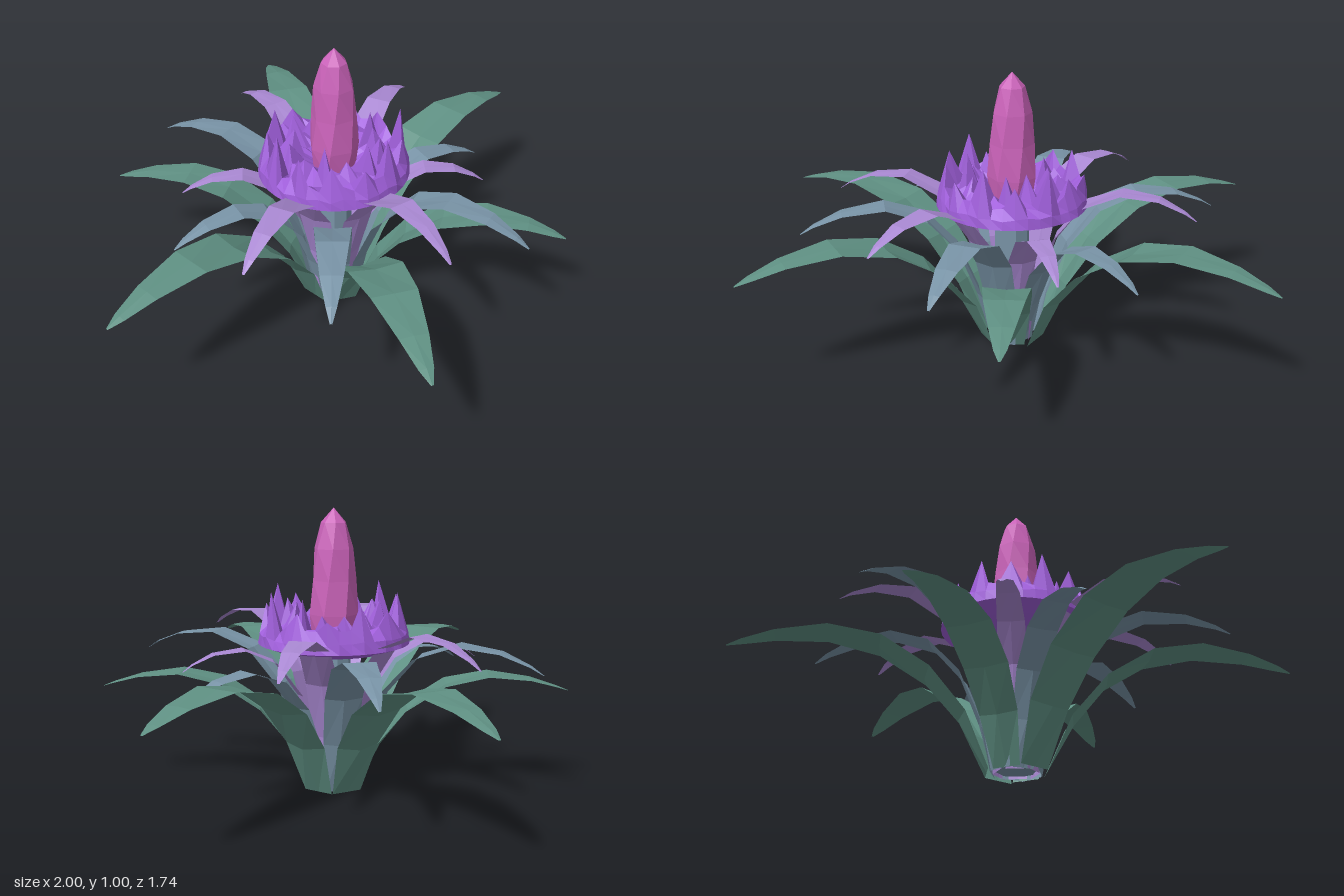
import * as THREE from 'three';

const mat = (name, color) => {
  const m = new THREE.MeshStandardMaterial({ color, side: THREE.DoubleSide });
  m.name = name;
  return m;
};

// Faceted surface through a grid of rows, each row a list of [x, y, z]
function gridSurface(rows, closed = false) {
  const n = rows[0].length, pos = rows.flat(2), index = [];
  for (let i = 0; i < rows.length - 1; i++) {
    for (let j = 0; j < (closed ? n : n - 1); j++) {
      const k = (j + 1) % n;
      const a = i * n + j, b = i * n + k, c = (i + 1) * n + j, d = (i + 1) * n + k;
      index.push(a, b, c, b, d, c);
    }
  }
  const g = new THREE.BufferGeometry();
  g.setAttribute('position', new THREE.Float32BufferAttribute(pos, 3));
  g.setIndex(index);
  const flat = g.toNonIndexed();
  flat.computeVertexNormals();
  return flat;
}

// Arching leaf along +x; path points are [radius, height, half width]
function leafGeometry(path) {
  const last = path.length - 1;
  const rows = path.map(([r, y, w], i) => {
    const p = path[Math.max(i - 1, 0)], q = path[Math.min(i + 1, last)];
    const len = Math.hypot(q[0] - p[0], q[1] - p[1]);
    const nx = -(q[1] - p[1]) / len, ny = (q[0] - p[0]) / len;
    // cupped at the base, softly ridged toward the tip
    const lift = i === 0 ? 0 : w * (0.35 - 0.6 * i / last);
    const edge = s => [r + nx * lift, y + ny * lift, s * w];
    return [edge(-1), [r, y, 0], edge(1)];
  });
  return gridSurface(rows);
}

export function createModel() {
  const group = new THREE.Group();
  const green = mat('leafGreen', 0x5f9083);
  const blue = mat('leafBlue', 0x7893a6);
  const lilac = mat('leafLilac', 0xa988d2);
  const violet = mat('bractViolet', 0xa05fdb);
  const pink = mat('spikePink', 0xcb63ba);

  const add = (name, geometry, material) => {
    const mesh = new THREE.Mesh(geometry, material);
    mesh.name = name;
    group.add(mesh);
    return mesh;
  };

  // Three whorls of six leaves; every third leaf is shorter on one axis
  const whorls = [
    ['outerLeaf', green, 0, [[0.1, 0, 0.056], [0.2, 0.18, 0.08], [0.32, 0.33, 0.093], [0.48, 0.44, 0.094],
      [0.66, 0.485, 0.078], [0.84, 0.47, 0.048], [0.95, 0.44, 0.024], [1, 0.42, 0.004]]],
    ['middleLeaf', blue, 43, [[0.082, 0, 0.042], [0.13, 0.18, 0.058], [0.2, 0.36, 0.066], [0.31, 0.49, 0.064],
      [0.45, 0.545, 0.055], [0.6, 0.53, 0.038], [0.7, 0.49, 0.018], [0.745, 0.46, 0.004]]],
    ['innerLeaf', lilac, 18, [[0.07, 0, 0.036], [0.1, 0.2, 0.055], [0.16, 0.4, 0.06], [0.26, 0.54, 0.055],
      [0.39, 0.6, 0.046], [0.52, 0.59, 0.032], [0.61, 0.55, 0.016], [0.65, 0.52, 0.004]]],
  ];
  for (const [name, material, start, path] of whorls) {
    const geometry = leafGeometry(path);
    for (let i = 0; i < 6; i++) {
      const leaf = add(name, geometry, material);
      leaf.rotation.y = THREE.MathUtils.degToRad(start + i * 60);
      if (i % 3 === 2) leaf.scale.set(0.83, 0.86, 0.86);
    }
  }

  // Stem hidden inside the leaf cup
  const stem = new THREE.CylinderGeometry(0.06, 0.07, 0.5, 8).toNonIndexed();
  stem.computeVertexNormals();
  add('stem', stem, blue).position.y = 0.26;

  // Seeded noise for the ragged bracts
  let seed = 11;
  const rnd = () => (seed = (seed * 16807) % 2147483647) / 2147483647;

  // Crown of bracts: a shallow bowl rising into two rings of jagged points
  const N = 39;
  const ring = (r, y, jr = 0, jy = 0, peak = 0, phase = 0) =>
    Array.from({ length: N }, (_, j) => {
      const a = -(j / N) * Math.PI * 2;
      const tip = (j + phase) % 3 === 0 ? peak * (0.35 + 0.65 * rnd()) : 0;
      const rr = r + (rnd() - 0.5) * jr, yy = y + tip + (rnd() - 0.5) * jy;
      return [rr * Math.cos(a), yy, rr * Math.sin(a)];
    });
  add('bractCrown', gridSurface([
    ring(0.001, 0.5),
    ring(0.2, 0.505),
    ring(0.268, 0.53),
    ring(0.262, 0.565, 0.012, 0.015),
    ring(0.238, 0.6, 0.03, 0.03, 0.13),
    ring(0.195, 0.575, 0.03, 0.03),
    ring(0.155, 0.6, 0.04, 0.03, 0.11, 1),
    ring(0.11, 0.575, 0.02, 0.02),
    ring(0.05, 0.54),
  ], true), violet);

  // Central flower spike, slightly twisted from ring to ring
  const spikeRows = [[0.075, 0.53], [0.088, 0.63], [0.08, 0.75], [0.07, 0.86], [0.045, 0.95], [0.001, 1]]
    .map(([r, y], i) => Array.from({ length: 7 }, (_, j) => {
      const a = -(j / 7) * Math.PI * 2 - i * 0.18;
      return [r * Math.cos(a), y, r * Math.sin(a)];
    }));
  add('flowerSpike', gridSurface(spikeRows, true), pink);

  return group;
}
